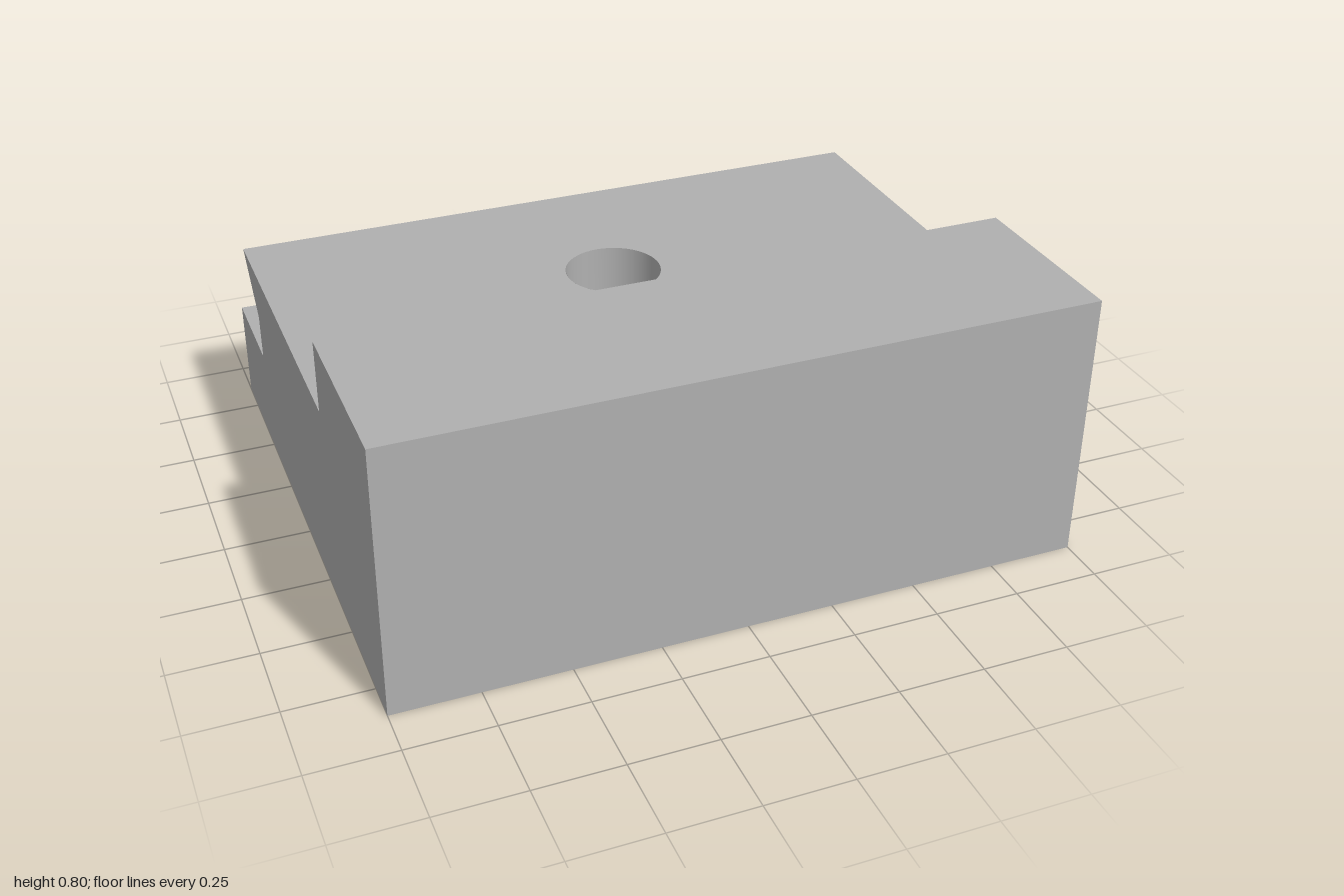
import * as THREE from 'three';

const HALF = 1, BACK = -0.863, FRONT = 0.863;
const DECK_Y = 0.59, DECK_BACK = -0.69, DECK_FRONT = 0.32;
const SLOT_H = 0.085, SLOT_END = -0.8;
const HOLE = { z: -0.157, r: 0.142, floor: 0.3 };

export function createModel() {
  const group = new THREE.Group();
  group.name = 'dovetailFixtureBlock';
  const steel = new THREE.MeshStandardMaterial({ color: 0xb0b0b0, side: THREE.DoubleSide });
  steel.name = 'plain grey';

  const add = (name, geometry) => {
    const mesh = new THREE.Mesh(geometry, steel);
    mesh.name = name;
    group.add(mesh);
    return mesh;
  };
  const shapeOf = (pts) => new THREE.Shape(pts.map(([x, y]) => new THREE.Vector2(x, y)));

  // Flat wall swept along x over one (z, y) profile edge
  const wall = (name, a, b, x0 = -HALF, x1 = HALF) => {
    const c = [[x0, a], [x1, a], [x1, b], [x0, a], [x1, b], [x0, b]];
    const g = new THREE.BufferGeometry();
    g.setAttribute('position', new THREE.Float32BufferAttribute(c.flatMap(([x, p]) => [x, p[1], p[0]]), 3));
    g.computeVertexNormals();
    add(name, g);
  };

  // Flat plate across the block, facing +x or -x, from (z, y) points
  const endPlate = (name, pts, x, dir) => {
    const mesh = add(name, new THREE.ShapeGeometry(shapeOf(pts.map(([z, y]) => [-dir * z, y]))));
    mesh.rotation.y = dir * Math.PI / 2;
    mesh.position.x = x;
  };

  // Side profile as (z, y): raised front rail, deck, undercut dovetail, back ledge
  const profile = [
    [FRONT, 0], [FRONT, 0.8], [DECK_FRONT, 0.8], [DECK_FRONT, DECK_Y], [DECK_BACK, DECK_Y],
    [-0.53, 0.435], [-0.53, 0.3], [BACK, 0.3], [BACK, 0],
  ];
  const names = ['frontFace', 'railTop', 'railStep', 'deck', 'dovetailUnderside', 'dovetailNeck', 'ledgeTop', 'backFace'];
  names.forEach((name, i) => {
    if (name !== 'deck') wall(name, profile[i], profile[i + 1]);
  });

  // Three bottom slots, open at the +x end, listed from back to front
  const slots = [[-0.49, -0.342], [0.042, 0.19], [0.574, 0.722]];
  const slotPoints = ([z0, z1]) => [[z0, 0], [z0, SLOT_H], [z1, SLOT_H], [z1, 0]];
  slots.forEach((slot) => {
    const p = slotPoints(slot);
    wall('slotBackWall', p[0], p[1], SLOT_END, HALF);
    wall('slotRoof', p[1], p[2], SLOT_END, HALF);
    wall('slotFrontWall', p[2], p[3], SLOT_END, HALF);
    endPlate('slotEnd', p, SLOT_END, 1);
  });

  // Ends: one notched by the slots, one solid
  endPlate('slottedEnd', [...profile, ...slots.flatMap(slotPoints)], HALF, 1);
  endPlate('solidEnd', profile, -HALF, -1);

  // Underside with the slot openings cut in from the +x edge
  const outline = [[-HALF, FRONT], [-HALF, BACK], [HALF, BACK]];
  slots.forEach(([z0, z1]) => outline.push([HALF, z0], [SLOT_END, z0], [SLOT_END, z1], [HALF, z1]));
  outline.push([HALF, FRONT]);
  add('underside', new THREE.ShapeGeometry(shapeOf(outline))).rotation.x = Math.PI / 2;

  // Deck with its round hole
  const deckShape = shapeOf([[-HALF, -DECK_FRONT], [HALF, -DECK_FRONT], [HALF, -DECK_BACK], [-HALF, -DECK_BACK]]);
  deckShape.holes.push(new THREE.Path().absarc(0, -HOLE.z, HOLE.r, 0, Math.PI * 2, true));
  const deck = add('deck', new THREE.ShapeGeometry(deckShape, 48));
  deck.rotation.x = -Math.PI / 2;
  deck.position.y = DECK_Y;

  // Blind bore: inner wall and floor
  const depth = DECK_Y - HOLE.floor;
  const bore = add('boreWall', new THREE.CylinderGeometry(HOLE.r, HOLE.r, depth, 48, 1, true));
  bore.position.set(0, HOLE.floor + depth / 2, HOLE.z);
  const floor = add('boreFloor', new THREE.CircleGeometry(HOLE.r, 48));
  floor.rotation.x = -Math.PI / 2;
  floor.position.set(0, HOLE.floor, HOLE.z);

  return group;
}
